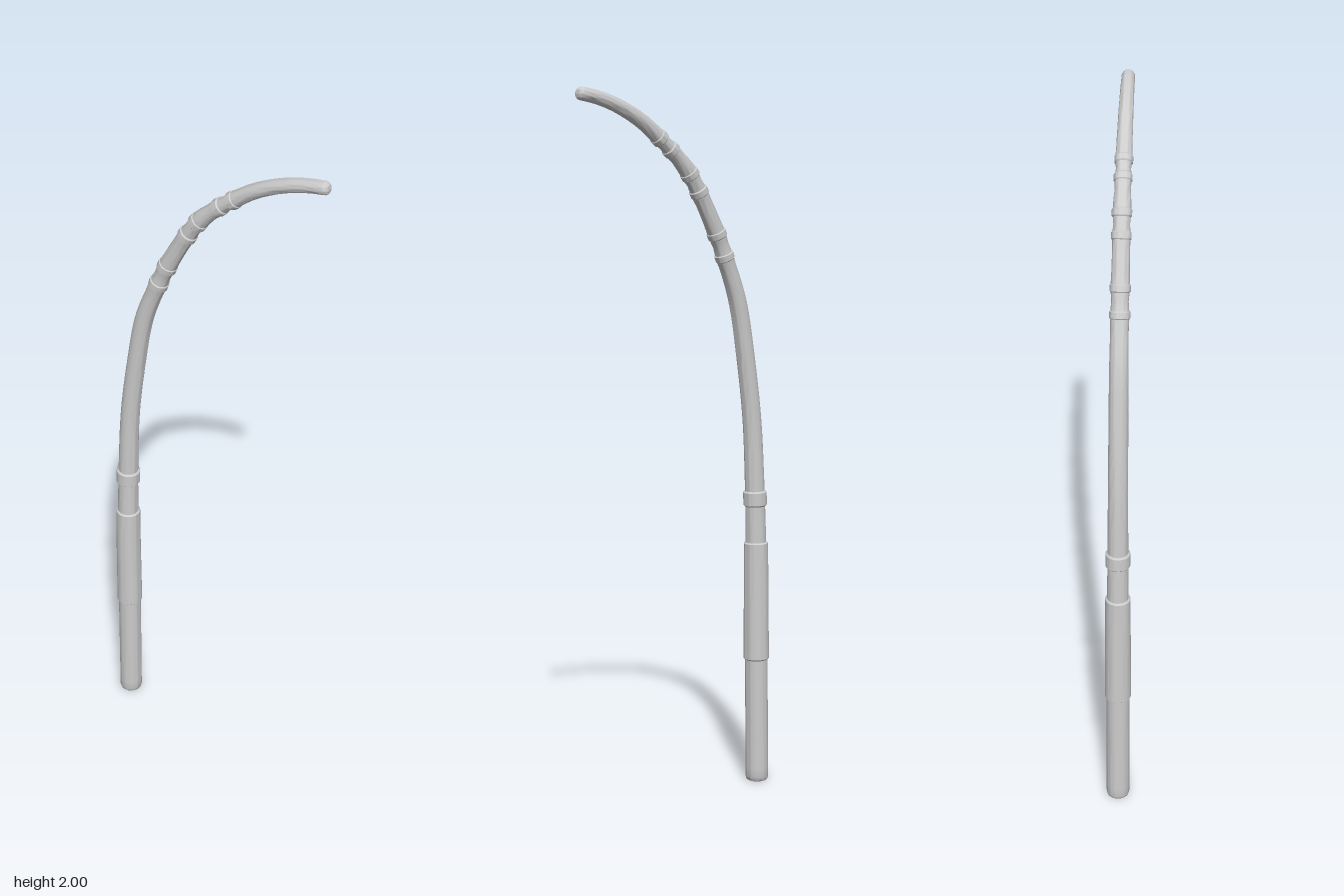
import * as THREE from 'three';
import { toCreasedNormals } from 'three/addons/utils/BufferGeometryUtils.js';

const SIDES = 32;

// Centreline of the whole rod: straight grip bending over to the tip.
const path = new THREE.CatmullRomCurve3([
  [-0.305, 0], [-0.3, 0.36], [-0.296, 0.7], [-0.289, 0.9], [-0.278, 1.07], [-0.253, 1.25],
  [-0.222, 1.41], [-0.172, 1.54], [-0.145, 1.6], [-0.082, 1.715], [-0.04, 1.776],
  [0.012, 1.827], [0.06, 1.866], [0.12, 1.91], [0.2, 1.95], [0.27, 1.972], [0.333, 1.983],
].map(([x, y]) => new THREE.Vector3(x, y, 0)), false, 'centripetal');
path.arcLengthDivisions = 1000;
const LENGTH = path.getLength();

// Distance along the path at which the rod reaches a given height.
function distanceAtHeight(y) {
  let a = 0, b = 1;
  for (let i = 0; i < 30; i++) {
    const m = (a + b) / 2;
    if (path.getPointAt(m).y < y) a = m; else b = m;
  }
  return a * LENGTH;
}

// Sweeps a round section along the path; profile = [distance, radius] pairs.
function sweep(name, profile, material) {
  const rows = [profile[0]];
  for (let i = 1; i < profile.length; i++) {
    const [d0, r0] = profile[i - 1], [d1, r1] = profile[i];
    const n = Math.max(1, Math.ceil(Math.abs(d1 - d0) / 0.03));
    for (let k = 1; k <= n; k++) rows.push([d0 + (d1 - d0) * k / n, r0 + (r1 - r0) * k / n]);
  }
  const pos = [], index = [];
  for (const [d, r] of rows) {
    const u = THREE.MathUtils.clamp(d / LENGTH, 0, 1);
    const p = path.getPointAt(u), t = path.getTangentAt(u);
    for (let j = 0; j < SIDES; j++) {
      const a = j / SIDES * Math.PI * 2, c = Math.cos(a) * r;
      pos.push(p.x + t.y * c, p.y - t.x * c, Math.sin(a) * r);
    }
  }
  for (let i = 0; i < rows.length - 1; i++) {
    for (let j = 0; j < SIDES; j++) {
      const a = i * SIDES + j, b = i * SIDES + (j + 1) % SIDES;
      // Collapsed end rows need only one triangle per side.
      if (rows[i][1] > 0) index.push(a, a + SIDES, b);
      if (rows[i + 1][1] > 0) index.push(b, a + SIDES, b + SIDES);
    }
  }
  const geometry = new THREE.BufferGeometry();
  geometry.setAttribute('position', new THREE.Float32BufferAttribute(pos, 3));
  geometry.setIndex(index);
  const mesh = new THREE.Mesh(toCreasedNormals(geometry, 0.6), material);
  mesh.name = name;
  return mesh;
}

// A closed band with small bevels, from one distance to another.
function band(name, d0, d1, r0, r1, inner, material) {
  const e = 0.004;
  return sweep(name, [
    [d0, 0], [d0, inner], [d0, r0 - e], [d0 + e, r0], [d1 - e, r1], [d1, r1 - e], [d1, inner], [d1, 0],
  ], material);
}

export function createModel() {
  const model = new THREE.Group();
  model.name = 'curvedRod';
  const grey = new THREE.MeshStandardMaterial({ color: 0xcccccc });
  const h = distanceAtHeight;

  // Grip: bevelled butt and the thicker sleeve above it
  model.add(sweep('butt', [
    [0, 0], [0, 0.028], [0.003, 0.031], [0.01, 0.033], [h(0.37), 0.033], [h(0.37), 0],
  ], grey));
  model.add(band('sleeve', h(0.362), h(0.71), 0.037, 0.035, 0.028, grey));
  model.add(band('collar', h(0.815), h(0.86), 0.034, 0.034, 0.026, grey));

  // Ringed knots: [height of lower ring, height of upper ring, radius]
  const knots = [[1.535, 1.598, 0.0275], [1.716, 1.765, 0.0265], [1.832, 1.864, 0.0245]];

  // Shaft, flaring slightly towards the rings and rounded at the tip
  const shaft = [[h(0.7), 0], [h(0.7), 0.03], [h(0.83), 0.0285], [h(1.05), 0.027], [h(1.4), 0.0255]];
  for (const [low, high, r] of knots) {
    const a = h(low), b = h(high);
    shaft.push([a - 0.035, r - 0.0035], [a, r - 0.002], [(a + b) / 2, r - 0.005], [b, r - 0.002], [b + 0.035, r - 0.0035]);
  }
  const tipRadius = 0.018, round = 0.014;
  for (let i = 0; i <= 6; i++) {
    const a = i / 6 * Math.PI / 2;
    shaft.push([LENGTH - round + round * Math.sin(a), tipRadius - round + round * Math.cos(a)]);
  }
  shaft.push([LENGTH, 0]);
  model.add(sweep('shaft', shaft, grey));

  // Pairs of raised rings around the bend
  const rings = new THREE.Group();
  rings.name = 'rings';
  for (const [low, high, r] of knots) {
    for (const y of [low, high]) {
      const d = h(y);
      rings.add(band('ring', d - 0.012, d + 0.012, r, r, r - 0.006, grey));
    }
  }
  model.add(rings);
  return model;
}
